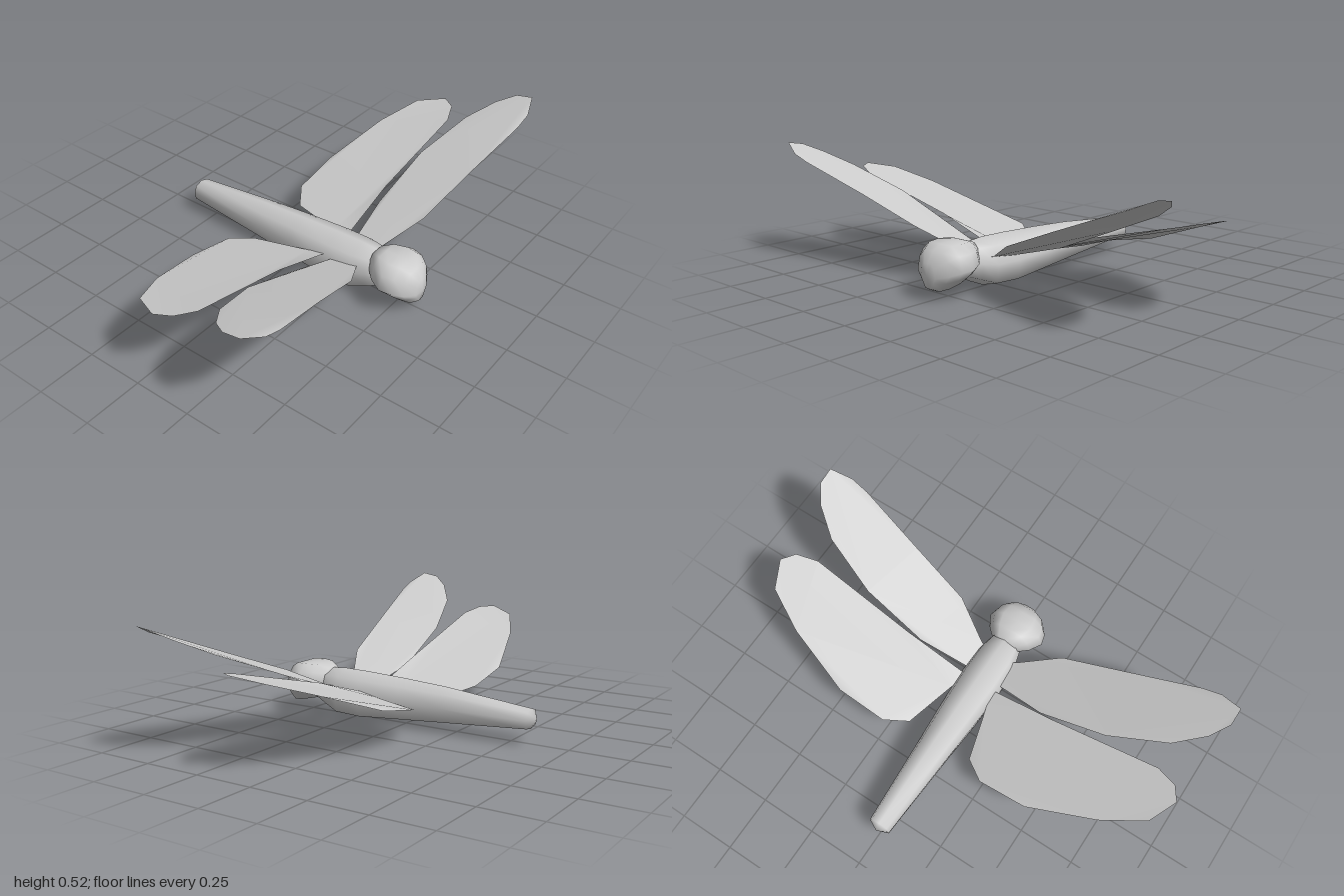
import * as THREE from 'three';

const grey = new THREE.MeshStandardMaterial({ color: 0xcccccc });
grey.name = 'light grey';
const wingGrey = new THREE.MeshStandardMaterial({ color: 0xcccccc, side: THREE.DoubleSide });
wingGrey.name = 'wing grey';

// Half profiles from bottom to top, in units of half width and half height
const bodyProfile = [[0, -1], [0.9, -0.78], [1, 0], [0.75, 0.72], [0, 1]];
const headProfile = [[0, -1], [0.4, -0.95], [0.75, -0.5], [1, -0.1], [0.85, 0.6], [0.52, 1], [0, 1]];

// Skin mirrored rings along z; each section is [z, half width, bottom y, top y]
function loft(name, half, sections, backTip, frontTip) {
  const mirrored = half.slice(1, -1).reverse().map(([x, y]) => [-x, y]);
  const ring = [...half, ...mirrored];
  const n = ring.length;
  const pos = [];
  const index = [];
  for (const [z, w, low, high] of sections) {
    for (const [x, y] of ring) pos.push(x * w, (low + high) / 2 + (y * (high - low)) / 2, z);
  }
  for (let s = 0; s < sections.length - 1; s++) {
    for (let i = 0; i < n; i++) {
      const a = s * n + i, b = s * n + ((i + 1) % n);
      index.push(a, b, b + n, a, b + n, a + n);
    }
  }
  // Pointed caps
  const back = sections.length * n;
  const last = back - n;
  pos.push(0, backTip[1], backTip[0], 0, frontTip[1], frontTip[0]);
  for (let i = 0; i < n; i++) {
    const j = (i + 1) % n;
    index.push(back, j, i, back + 1, last + i, last + j);
  }
  const geo = new THREE.BufferGeometry();
  geo.setAttribute('position', new THREE.Float32BufferAttribute(pos, 3));
  geo.setIndex(index);
  geo.computeVertexNormals();
  const mesh = new THREE.Mesh(geo, grey);
  mesh.name = name;
  return mesh;
}

// Thin wing from an outline of [x, y, z], mirrored with side = -1
function wing(name, outline, side) {
  const flat = outline.map(([x, , z]) => new THREE.Vector2(x, z));
  const faces = THREE.ShapeUtils.triangulateShape(flat, []);
  const index = [];
  for (const [a, b, c] of faces) {
    // Turn every face upward
    const turn = (flat[b].x - flat[a].x) * (flat[c].y - flat[a].y)
      - (flat[b].y - flat[a].y) * (flat[c].x - flat[a].x);
    index.push(...(turn * side < 0 ? [a, b, c] : [a, c, b]));
  }
  const geo = new THREE.BufferGeometry();
  const pos = outline.flatMap(([x, y, z]) => [x * side, y, z]);
  geo.setAttribute('position', new THREE.Float32BufferAttribute(pos, 3));
  geo.setIndex(index);
  geo.computeVertexNormals();
  const mesh = new THREE.Mesh(geo, wingGrey);
  mesh.name = name;
  return mesh;
}

const frontOutline = [
  [0.06, 0.14, 0.33], [0.10, 0.15, 0.35], [0.26, 0.235, 0.44], [0.53, 0.34, 0.49],
  [0.83, 0.45, 0.55], [0.91, 0.48, 0.555], [1.0, 0.52, 0.525], [1.0, 0.507, 0.45],
  [0.95, 0.47, 0.375], [0.84, 0.41, 0.29], [0.6, 0.31, 0.21], [0.31, 0.19, 0.187],
  [0.09, 0.13, 0.215],
];
const hindOutline = [
  [0.06, 0.13, 0.17], [0.09, 0.14, 0.18], [0.37, 0.23, 0.175], [0.85, 0.355, 0.193],
  [0.94, 0.377, 0.16], [0.98, 0.382, 0.1], [0.925, 0.355, -0.02], [0.755, 0.293, -0.11],
  [0.47, 0.187, -0.2], [0.25, 0.143, -0.2], [0.155, 0.116, -0.135], [0.09, 0.124, 0.1],
];

export function createModel() {
  const model = new THREE.Group();
  model.name = 'dragonfly';

  // Tapered abdomen and thorax
  model.add(loft('body', bodyProfile, [
    [-0.585, 0.05, 0.065, 0.15],
    [-0.2, 0.073, 0.034, 0.188],
    [0, 0.087, 0.019, 0.2],
    [0.19, 0.098, 0.004, 0.208],
    [0.31, 0.095, 0.009, 0.21],
    [0.38, 0.078, 0.038, 0.205],
    [0.44, 0.06, 0.066, 0.18],
  ], [-0.61, 0.11], [0.46, 0.12]));

  // Broad head with bulging eyes
  model.add(loft('head', headProfile, [
    [0.385, 0.06, 0.1, 0.205],
    [0.43, 0.105, 0.068, 0.22],
    [0.485, 0.135, 0.056, 0.221],
    [0.535, 0.122, 0.044, 0.219],
    [0.575, 0.09, 0.04, 0.198],
    [0.603, 0.04, 0.054, 0.155],
  ], [0.38, 0.15], [0.61, 0.105]));

  // Two pairs of wings
  for (const [label, side] of [['left', 1], ['right', -1]]) {
    model.add(wing(label + 'FrontWing', frontOutline, side));
    model.add(wing(label + 'HindWing', hindOutline, side));
  }
  return model;
}
